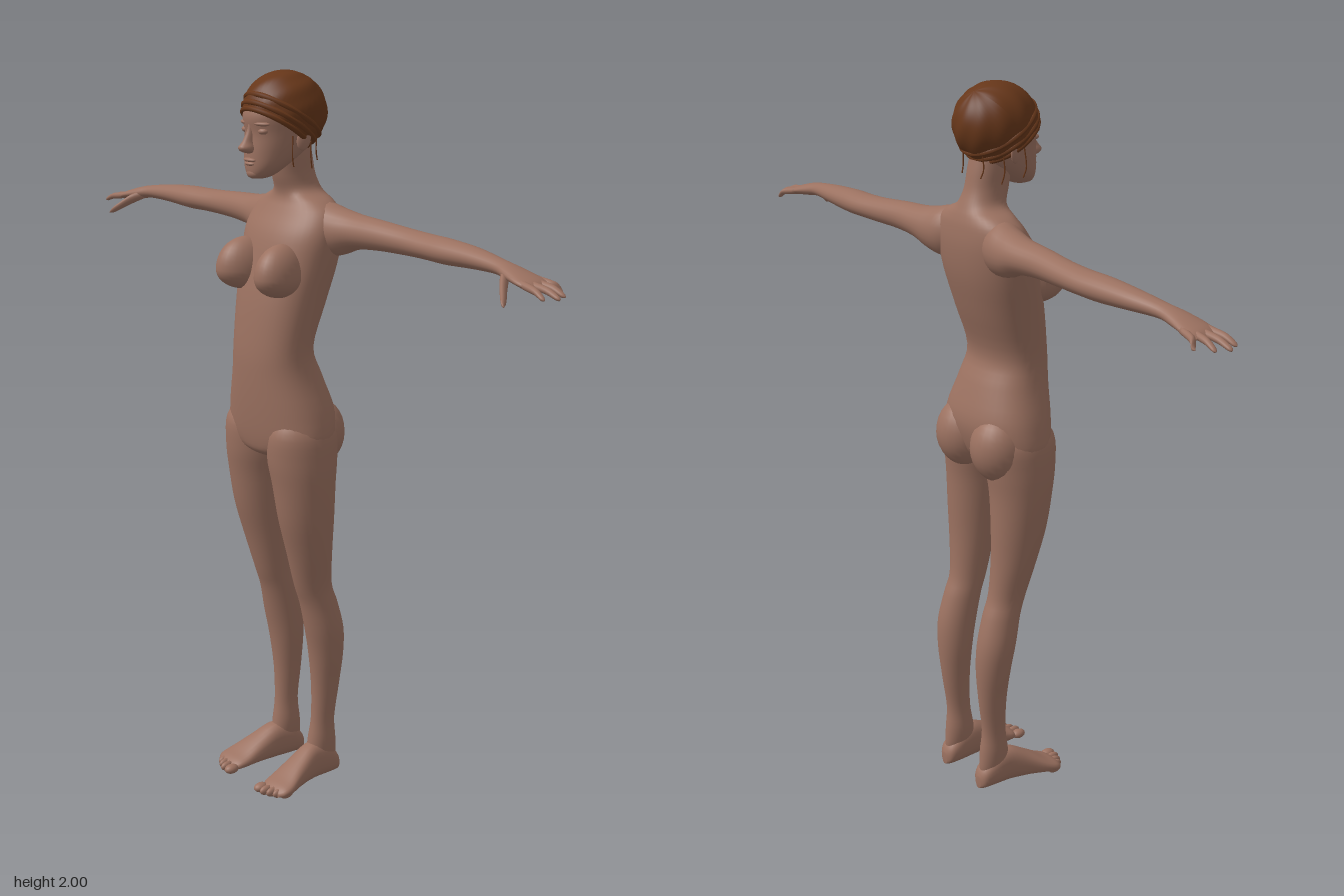
import * as THREE from 'three';

const skin = new THREE.MeshStandardMaterial({ color: 0x9b7160 });
skin.name = 'skin';
const hairBrown = new THREE.MeshStandardMaterial({ color: 0x663619, side: THREE.DoubleSide });
hairBrown.name = 'hairBrown';

// Smooth closed skin through rows of numbers; place(row, cos, sin) gives a point of the ring
function loft(rows, place, seg = 28, steps = 4) {
  const pos = [], index = [], n = (rows.length - 1) * steps + 1;
  const cr = (a, b, c, d, t) => 0.5 * (2 * b + (c - a) * t + (2 * a - 5 * b + 4 * c - d) * t * t + (3 * b - a - 3 * c + d) * t * t * t);
  for (let i = 0; i < n; i++) {
    const k = Math.min(Math.floor(i / steps), rows.length - 2), t = i / steps - k;
    const at = (j) => rows[Math.max(0, Math.min(rows.length - 1, j))];
    const row = rows[0].map((_, c) => cr(at(k - 1)[c], at(k)[c], at(k + 1)[c], at(k + 2)[c], t));
    for (let j = 0; j < seg; j++) {
      const a = (j / seg) * Math.PI * 2;
      pos.push(...place(row, Math.cos(a), Math.sin(a)));
    }
  }
  for (let i = 0; i < n - 1; i++) for (let j = 0; j < seg; j++) {
    const a = i * seg + j, b = i * seg + (j + 1) % seg;
    index.push(a, b, a + seg, b, b + seg, a + seg);
  }
  // End caps
  for (const r of [0, n - 1]) {
    const c = [0, 0, 0], id = pos.length / 3;
    for (let j = 0; j < seg; j++) for (let q = 0; q < 3; q++) c[q] += pos[(r * seg + j) * 3 + q] / seg;
    pos.push(...c);
    for (let j = 0; j < seg; j++) {
      const a = r * seg + j, b = r * seg + (j + 1) % seg;
      index.push(...(r ? [a, b, id] : [b, a, id]));
    }
  }
  // Turn the faces outward, whichever way the rows run
  let vol = 0;
  const P = (i) => new THREE.Vector3().fromArray(pos, i * 3);
  for (let i = 0; i < index.length; i += 3) vol += P(index[i]).dot(P(index[i + 1]).cross(P(index[i + 2])));
  if (vol < 0) index.reverse();
  const g = new THREE.BufferGeometry();
  g.setAttribute('position', new THREE.Float32BufferAttribute(pos, 3));
  g.setIndex(index);
  g.computeVertexNormals();
  return g;
}

const soft = (v, p) => Math.sign(v) * Math.abs(v) ** p;
// Upright ring from [y, half width, front z, back z]
const upright = (p) => ([y, w, f, b], c, s) => [w * soft(c, p), y, (f + b) / 2 + (f - b) / 2 * soft(s, p)];

export function createModel() {
  const model = new THREE.Group();
  const add = (name, geo, mat = skin, parent = model) => {
    const m = new THREE.Mesh(geo, mat);
    m.name = name;
    parent.add(m);
    return m;
  };
  const ball = (name, at, r, parent = model) => {
    const m = add(name, new THREE.SphereGeometry(1, 24, 16), skin, parent);
    m.position.set(...at);
    m.scale.set(...r);
    return m;
  };

  // Torso and neck
  add('torso', loft([
    [0.965, 0.03, 0.04, -0.04], [0.985, 0.1, 0.085, -0.08], [1.02, 0.176, 0.1, -0.105],
    [1.1, 0.17, 0.11, -0.12], [1.2, 0.138, 0.115, -0.09], [1.28, 0.127, 0.113, -0.063],
    [1.4, 0.14, 0.098, -0.1], [1.5, 0.155, 0.075, -0.128], [1.58, 0.163, 0.052, -0.138],
    [1.635, 0.15, 0.02, -0.135], [1.665, 0.115, 0.004, -0.128], [1.69, 0.065, 0.003, -0.118],
    [1.73, 0.051, 0.016, -0.102], [1.78, 0.049, 0.025, -0.092], [1.83, 0.045, 0.02, -0.08],
  ], upright(0.9), 40));

  // Head and face
  const head = new THREE.Group();
  head.name = 'head';
  model.add(head);
  add('skull', loft([
    [1.727, 0.012, 0.085, 0.055], [1.735, 0.032, 0.1, 0.03], [1.76, 0.054, 0.104, -0.01],
    [1.8, 0.07, 0.103, -0.07], [1.845, 0.079, 0.1, -0.1], [1.89, 0.083, 0.105, -0.11],
    [1.935, 0.078, 0.085, -0.105], [1.97, 0.05, 0.05, -0.07], [1.985, 0.01, 0, -0.02],
  ], upright(0.95), 32), skin, head);
  add('nose', loft([
    [1.872, 0.006, 0.103, 0.08], [1.85, 0.009, 0.109, 0.08], [1.825, 0.012, 0.123, 0.08],
    [1.81, 0.018, 0.135, 0.08], [1.799, 0.016, 0.126, 0.08], [1.794, 0.006, 0.108, 0.085],
  ], upright(1), 16), skin, head);
  ball('upperLip', [0, 1.777, 0.1], [0.024, 0.006, 0.011], head);
  ball('lowerLip', [0, 1.767, 0.099], [0.02, 0.006, 0.011], head);
  ball('chin', [0, 1.742, 0.088], [0.024, 0.015, 0.016], head);

  for (const s of [1, -1]) {
    const side = s > 0 ? 'left' : 'right';
    ball(side + 'Eye', [s * 0.035, 1.852, 0.083], [0.016, 0.009, 0.013], head);
    const brow = ball(side + 'BrowRidge', [s * 0.035, 1.871, 0.088], [0.025, 0.006, 0.011], head);
    brow.rotation.y = s * 0.35;
    const ear = ball(side + 'Ear', [s * 0.083, 1.83, -0.012], [0.008, 0.03, 0.019], head);
    ear.rotation.set(-0.15, -s * 0.35, s * -0.1);

    // Chest, with a longer slope above than below
    const chest = new THREE.SphereGeometry(1, 28, 20);
    const cp = chest.attributes.position;
    for (let i = 0; i < cp.count; i++) {
      const y = cp.getY(i);
      cp.setXYZ(i, cp.getX(i) * 0.058, y * (y > 0 ? 0.085 : 0.056), cp.getZ(i) * 0.085);
    }
    chest.computeVertexNormals();
    const bust = add(side + 'Chest', chest);
    bust.position.set(s * 0.079, 1.477, 0.058);
    bust.rotation.y = s * 0.15;

    // Hips at the back
    ball(side + 'Seat', [s * 0.078, 1.035, -0.055], [0.082, 0.098, 0.085]);

    // Leg from [y, inner x, outer x, front z, back z]
    add(side + 'Leg', loft([
      [1.12, 0.06, 0.13, 0.05, -0.05], [1.06, 0.012, 0.176, 0.095, -0.1], [0.98, 0.004, 0.185, 0.097, -0.1],
      [0.9, 0.017, 0.183, 0.085, -0.092], [0.8, 0.028, 0.174, 0.068, -0.09], [0.7, 0.036, 0.159, 0.04, -0.09],
      [0.6, 0.042, 0.14, 0.012, -0.098], [0.54, 0.042, 0.141, -0.008, -0.118], [0.46, 0.042, 0.146, -0.025, -0.138],
      [0.38, 0.044, 0.139, -0.04, -0.142], [0.28, 0.052, 0.124, -0.05, -0.134], [0.18, 0.056, 0.115, -0.05, -0.122],
      [0.11, 0.05, 0.117, -0.04, -0.128], [0.05, 0.056, 0.112, -0.035, -0.13], [0.02, 0.07, 0.1, -0.06, -0.11],
    ], ([y, a, b, f, k], c, n) => [s * ((a + b) / 2 + (b - a) / 2 * c), y, (f + k) / 2 + (f - k) / 2 * n], 32));

    // Foot from [z, centre x, half width, height]
    const foot = new THREE.Group();
    foot.name = side + 'Foot';
    model.add(foot);
    add('footBody', loft([
      [-0.14, 0.083, 0.01, 0.035], [-0.128, 0.083, 0.028, 0.06], [-0.09, 0.084, 0.036, 0.095],
      [-0.04, 0.087, 0.037, 0.105], [0.02, 0.096, 0.044, 0.075], [0.07, 0.105, 0.052, 0.045],
      [0.1, 0.108, 0.05, 0.031], [0.116, 0.107, 0.036, 0.02],
    ], ([z, x, w, h], c, n) => [s * (x + w * soft(c, 0.85)), 0.003 + h / 2 * (1 + soft(n, 0.85)), z], 24), skin, foot);
    [[0.071, 0.124, 0.016], [0.094, 0.122, 0.0105], [0.113, 0.114, 0.01], [0.13, 0.104, 0.01], [0.146, 0.09, 0.01]]
      .forEach(([x, z, r], i) => ball('toe' + (i + 1), [s * x, 0.015, z], [r, 0.0135, 0.022], foot));

    // Arm and palm from [x, y, z, half height, half depth]
    const arm = new THREE.Group();
    arm.name = side + 'Arm';
    model.add(arm);
    const across = ([x, y, z, h, d], c, n) => [s * x, y + h * c, z + d * n];
    add('armAndPalm', loft([
      [0.04, 1.6, -0.07, 0.02, 0.02], [0.1, 1.595, -0.07, 0.068, 0.06], [0.16, 1.592, -0.08, 0.062, 0.058],
      [0.22, 1.598, -0.088, 0.046, 0.05], [0.3, 1.6, -0.092, 0.039, 0.043], [0.4, 1.597, -0.1, 0.034, 0.04],
      [0.48, 1.595, -0.102, 0.032, 0.042], [0.55, 1.594, -0.1, 0.032, 0.041], [0.65, 1.593, -0.097, 0.026, 0.034],
      [0.74, 1.588, -0.089, 0.019, 0.026], [0.79, 1.58, -0.085, 0.018, 0.034], [0.84, 1.57, -0.084, 0.014, 0.043],
      [0.868, 1.563, -0.086, 0.011, 0.041], [0.882, 1.56, -0.086, 0.003, 0.03],
    ], across, 24), skin, arm);

    // Fingers spread in a fan: [tip x, tip z, root z]
    [[0.902, -0.138, -0.117], [0.938, -0.108, -0.098], [0.954, -0.074, -0.077], [0.936, -0.042, -0.056]]
      .forEach(([x, z, z0], i) => add('finger' + (i + 1), loft([
        [0.835, 1.57, z0, 0.009, 0.01], [0.87, 1.564, z0 + (z - z0) * 0.3, 0.0095, 0.01],
        [(0.87 + x) / 2, 1.559, z0 + (z - z0) * 0.65, 0.0085, 0.009],
        [x - 0.008, 1.548, z - (z - z0) * 0.08, 0.006, 0.007], [x, 1.545, z, 0.001, 0.001],
      ], across, 12, 3), skin, arm));
    add('thumb', loft([
      [0.77, 1.578, -0.075, 0.012, 0.012], [0.795, 1.565, -0.05, 0.014, 0.015], [0.82, 1.545, -0.025, 0.011, 0.012],
      [0.84, 1.528, -0.007, 0.008, 0.009], [0.85, 1.52, 0.002, 0.001, 0.001],
    ], across, 12, 3), skin, arm);
  }

  // Swept-up hair: a ridged cap leaning back, with a rolled edge
  const hair = new THREE.Group();
  hair.name = 'hair';
  hair.position.set(0, 1.893, -0.013);
  model.add(hair);
  const tilt = -0.62, size = [0.106, 0.107, 0.115];
  const shape = (g) => {
    g.rotateX(tilt);
    g.scale(...size);
    g.computeVertexNormals();
    return g;
  };
  const cap = new THREE.SphereGeometry(1, 60, 32, 0, Math.PI * 2, 0, Math.PI * 0.65);
  const hp = cap.attributes.position;
  for (let i = 0; i < hp.count; i++) {
    const x = hp.getX(i), y = hp.getY(i), z = hp.getZ(i);
    const k = 1 + 0.013 * Math.sin(9 * Math.atan2(z, x) + 7 * y) * Math.hypot(x, z);
    hp.setXYZ(i, x * k, y * k, z * k);
  }
  add('hairCap', shape(cap), hairBrown, hair);
  [[-0.1, 0.955, 0.075], [-0.3, 0.915, 0.075], [-0.45, 0.86, 0.07]].forEach(([y, r, t], i) => {
    const roll = new THREE.TorusGeometry(r, t, 10, 60).rotateX(Math.PI / 2).translate(0, y, 0);
    add('hairRoll' + (i + 1), shape(roll), hairBrown, hair);
  });

  // Loose strands by the ears and nape
  for (const s of [1, -1]) for (const [x, z, len] of [[0.078, 0.02, 0.05], [0.072, -0.045, 0.06], [0.04, -0.088, 0.045]]) {
    const path = new THREE.CatmullRomCurve3([[0, 0.03, 0], [0.004, -len / 2, 0.004], [0, -len, -0.003]]
      .map(([a, b, c]) => new THREE.Vector3(s * (x + a), 1.81 + b, z + c)));
    add('strand', new THREE.TubeGeometry(path, 8, 0.0018, 5), hairBrown);
  }
  return model;
}
